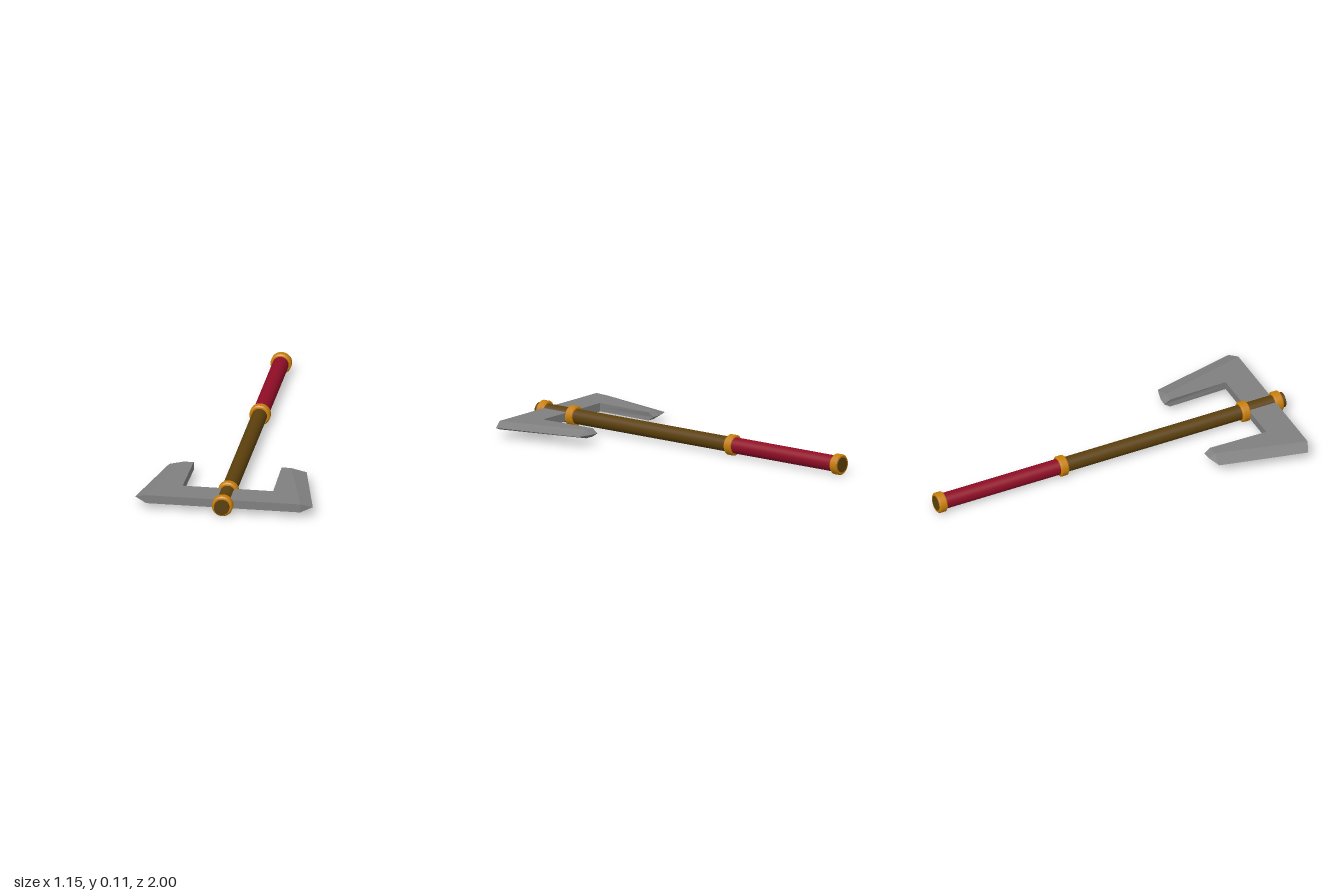
import * as THREE from 'three';
import { toCreasedNormals } from 'three/addons/utils/BufferGeometryUtils.js';

function material(name, color) {
  const m = new THREE.MeshStandardMaterial({ color });
  m.name = name;
  return m;
}

// Double axe head: one quarter described once, mirrored across the handle and the mid plane.
function bladeGeometry() {
  const h = 0.0225;
  const D = [0.239, h, 0.696], Dm = [0.239, 0, 0.696]; // inner corner
  const O = [0, h, 0.696], Om = [0, 0, 0.696];         // middle of inner edge
  const P = [0, h, 0.853], Pm = [0, 0, 0.853];         // middle of outer edge
  const J = [0.407, h, 0.853], Jm = [0.407, 0, 0.853]; // outer corner
  const C = [0.232, h, 0.37], R = [0.285, h, 0.372];   // prong end, full thickness
  const B = [0.235, 0, 0.337], T = [0.285, 0, 0.34];   // prong tip edge
  const A = [0.363, 0, 0.362], K = [0.469, 0, 0.826];  // sharp cutting edge
  const faces = [
    [D, J, R, C], [P, J, D, O],              // flat face
    [R, J, K, A], [Jm, K, J],                // cutting bevel
    [B, C, R, T], [T, R, A],                 // tip bevel
    [B, Dm, D, C], [Dm, Om, O, D], [Pm, Jm, J, P], // side walls
  ];
  const pos = [];
  for (const sx of [1, -1]) for (const sy of [1, -1]) {
    for (const face of faces) {
      const f = face.map(([x, y, z]) => [x * sx, y * sy, z]);
      if (sx * sy < 0) f.reverse();
      for (let i = 1; i < f.length - 1; i++) pos.push(...f[0], ...f[i], ...f[i + 1]);
    }
  }
  const g = new THREE.BufferGeometry();
  g.setAttribute('position', new THREE.Float32BufferAttribute(pos, 3));
  g.computeVertexNormals();
  return g;
}

// Chamfered band around the handle, lying along z.
function ringGeometry() {
  const w = 0.023, c = 0.007, inner = 0.036, outer = 0.055;
  const profile = [
    [inner, -w], [outer - c, -w], [outer, -w + c],
    [outer, w - c], [outer - c, w], [inner, w],
  ].map(([x, y]) => new THREE.Vector2(x, y));
  return toCreasedNormals(new THREE.LatheGeometry(profile, 32).rotateX(Math.PI / 2), 0.5);
}

// Cylinder along z between two positions.
function rod(radius, z0, z1) {
  return new THREE.CylinderGeometry(radius, radius, z1 - z0, 32)
    .rotateX(Math.PI / 2).translate(0, 0, (z0 + z1) / 2);
}

export function createModel() {
  const steel = material('steel grey', 0x808080);
  const wood = material('dark wood', 0x5c400c);
  const brass = material('brass', 0xc87f0a);
  const leather = material('red leather', 0x900d26);

  const axe = new THREE.Group();
  axe.name = 'axe';
  const add = (name, geometry, mat) => {
    const mesh = new THREE.Mesh(geometry, mat);
    mesh.name = name;
    axe.add(mesh);
    return mesh;
  };

  add('shaft', rod(0.04, -1.109, 0.912), wood);
  add('grip', rod(0.0425, -1.085, -0.378), leather);
  add('blade', bladeGeometry(), steel);

  const ring = ringGeometry();
  const rings = { pommelRing: -1.085, gripRing: -0.378, neckRing: 0.68, headRing: 0.872 };
  for (const [name, z] of Object.entries(rings)) add(name, ring, brass).position.z = z;

  // Lies flat, turned on the ground
  axe.rotation.y = THREE.MathUtils.degToRad(20);
  axe.position.set(-0.151, 0.056, 0.055);

  const model = new THREE.Group();
  model.add(axe);
  return model;
}
